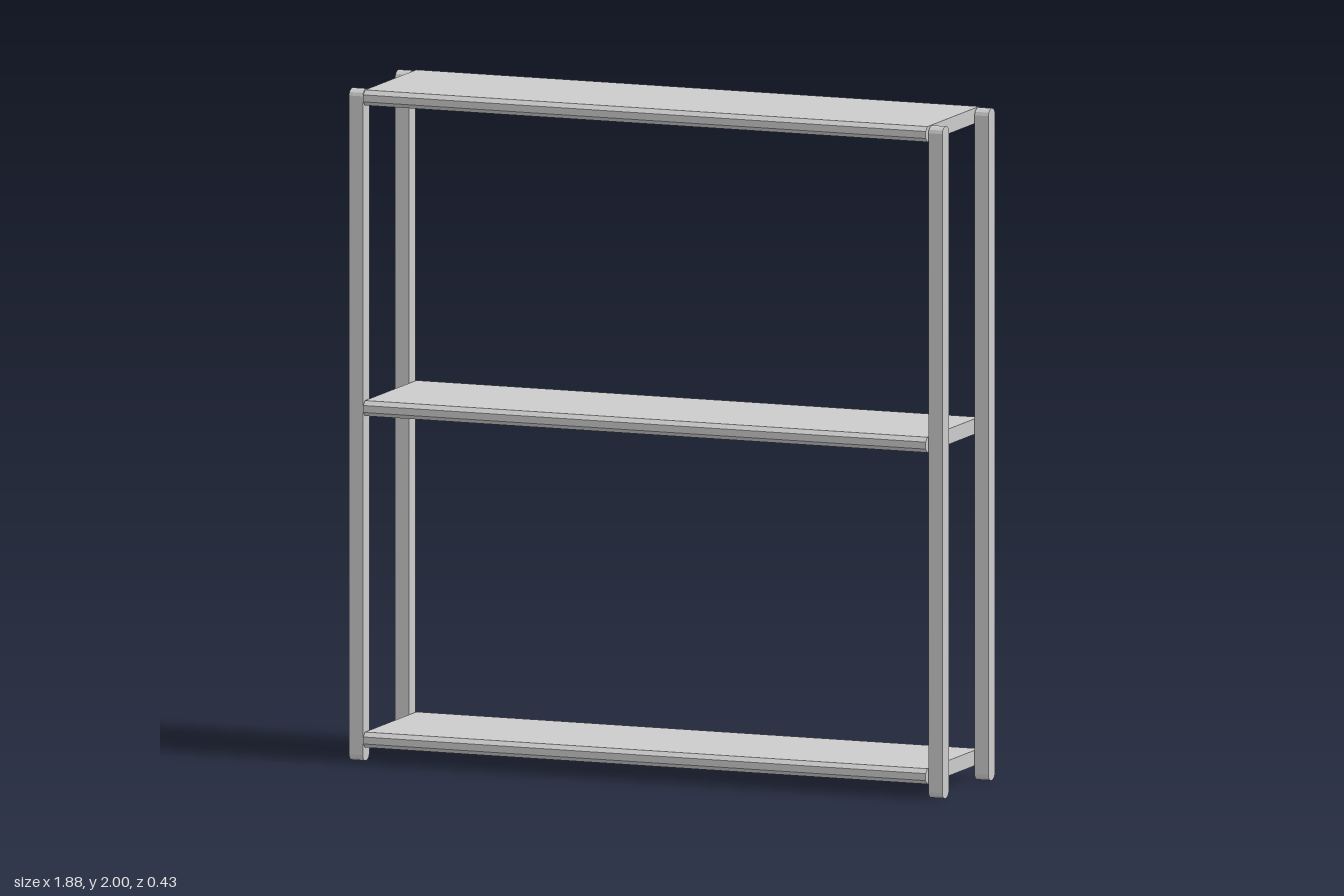
import * as THREE from 'three';

const material = new THREE.MeshStandardMaterial({ color: 0xcccccc, flatShading: true });

// Extrudes a (z, y) outline along x, centred on x = 0
function extrudeAlongX(points, length) {
  const shape = new THREE.Shape(points.map(([z, y]) => new THREE.Vector2(-z, y)));
  const geometry = new THREE.ExtrudeGeometry(shape, { depth: length, bevelEnabled: false });
  geometry.translate(0, 0, -length / 2);
  geometry.rotateY(Math.PI / 2);
  return geometry;
}

// Outline of a bar with rounded ends at the top and bottom
function postOutline(halfWidth, height, round, steps) {
  const points = [];
  for (const end of [1, -1]) {
    for (let i = 0; i <= steps; i++) {
      const a = (i / steps) * Math.PI;
      points.push([
        end * halfWidth * Math.cos(a),
        height / 2 + end * (height / 2 - round + round * Math.sin(a)),
      ]);
    }
  }
  return points;
}

// Board outline with bevelled long edges
function boardOutline(halfDepth, thickness, bevel) {
  const t = thickness / 2, b = t * 0.45, inner = halfDepth - bevel;
  return [
    [inner, t], [-inner, t], [-halfDepth, b], [-halfDepth, -b],
    [-inner, -t], [inner, -t], [halfDepth, -b], [halfDepth, b],
  ];
}

export function createModel() {
  const model = new THREE.Group();
  model.name = 'shelfUnit';

  // Four upright posts
  const postGeometry = extrudeAlongX(postOutline(0.026, 2, 0.02, 6), 0.044);
  for (const sx of [1, -1]) {
    for (const sz of [1, -1]) {
      const post = new THREE.Mesh(postGeometry, material);
      post.name = (sz > 0 ? 'front' : 'back') + (sx > 0 ? 'Left' : 'Right') + 'Post';
      post.position.set(sx * 0.919, 0, sz * 0.179);
      model.add(post);
    }
  }

  // Three shelves between the posts
  const shelves = [['bottomShelf', 0.066], ['middleShelf', 1.052], ['topShelf', 1.976]];
  const shelfGeometry = extrudeAlongX(boardOutline(0.214, 0.046, 0.014), 1.784);
  for (const [name, y] of shelves) {
    const shelf = new THREE.Mesh(shelfGeometry, material);
    shelf.name = name;
    shelf.position.y = y;
    model.add(shelf);
  }
  return model;
}
